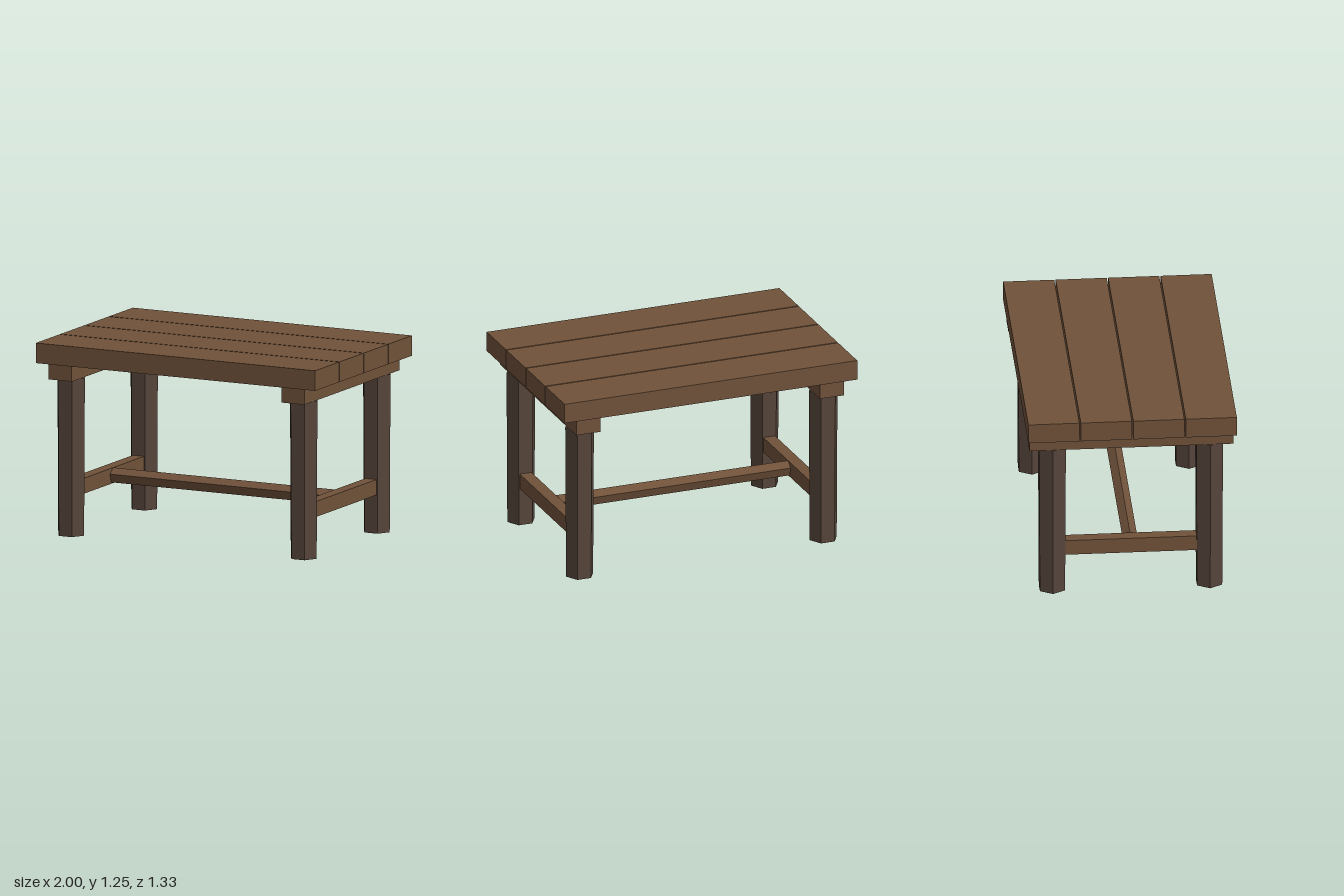
import * as THREE from 'three';

export function createModel() {
  const table = new THREE.Group();
  table.name = 'table';

  const plankWood = new THREE.MeshStandardMaterial({ color: 0x70523a, flatShading: true });
  plankWood.name = 'plank wood';
  const legWood = new THREE.MeshStandardMaterial({ color: 0x56453b, flatShading: true });
  legWood.name = 'dark leg wood';

  const add = (name, geometry, material, x, y, z) => {
    const mesh = new THREE.Mesh(geometry, material);
    mesh.name = name;
    mesh.position.set(x, y, z);
    table.add(mesh);
  };

  // Four top planks with narrow gaps between them
  const plank = new THREE.BoxGeometry(2, 0.13, 0.325);
  for (let i = 0; i < 4; i++) {
    add(`topPlank${i + 1}`, plank, plankWood, 0, 1.185, (i - 1.5) * 0.334);
  }

  // Cross beams, low rails and slightly tapered hexagonal legs at each end
  const beam = new THREE.BoxGeometry(0.165, 0.1, 1.3);
  const rail = new THREE.BoxGeometry(0.08, 0.1, 0.9);
  const leg = new THREE.CylinderGeometry(0.098, 0.0925, 1.02, 6);
  leg.rotateY(Math.PI / 6);
  for (const [side, sx] of [['left', 1], ['right', -1]]) {
    add(`${side}CrossBeam`, beam, plankWood, sx * 0.8325, 1.07, 0);
    add(`${side}Rail`, rail, plankWood, sx * 0.8325, 0.3, 0);
    for (const [end, sz] of [['Front', 1], ['Back', -1]]) {
      add(`${side}${end}Leg`, leg, legWood, sx * 0.8325, 0.51, sz * 0.5);
    }
  }

  // Five-sided stretcher joining the rails, one ridge upward
  const stretcher = new THREE.CylinderGeometry(0.05, 0.05, 1.6, 5);
  stretcher.rotateY(Math.PI / 2).rotateZ(Math.PI / 2);
  add('stretcher', stretcher, plankWood, 0, 0.3, 0);

  return table;
}
